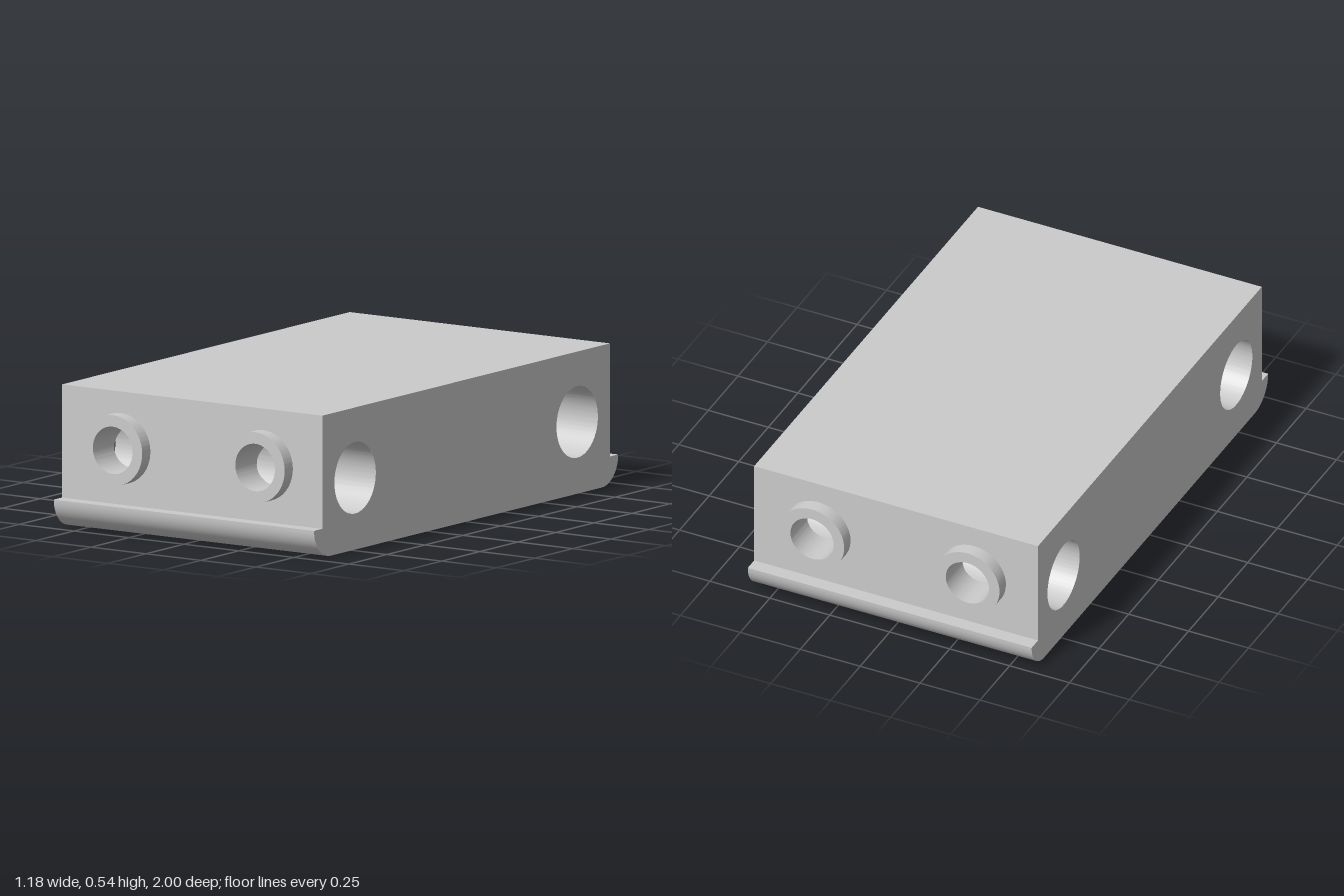
import * as THREE from 'three';
import { toCreasedNormals } from 'three/addons/utils/BufferGeometryUtils.js';

const W = 0.592, H = 0.54;          // half width, height
const END = 0.946, LIP = 0.11;      // end wall position, lip height and radius
const SEG = 128;
const LONG = { pos: 0.324, y: 0.324, r: 0.09, half: 1 };    // bores along z
const CROSS = { pos: 0.73, y: 0.273, r: 0.136, half: W };   // bores along x
const BOSS_R = 0.134;

const material = new THREE.MeshStandardMaterial({ color: 0xcccccc });

// Grid surface from a point rule f(i, j)
function sheet(nu, nv, f) {
  const pos = [], index = [];
  for (let i = 0; i <= nu; i++) for (let j = 0; j <= nv; j++) pos.push(...f(i, j));
  for (let i = 0; i < nu; i++) for (let j = 0; j < nv; j++) {
    const a = i * (nv + 1) + j, b = a + nv + 1;
    index.push(a, b, b + 1, a, b + 1, a + 1);
  }
  const g = new THREE.BufferGeometry();
  g.setAttribute('position', new THREE.Float32BufferAttribute(pos, 3));
  g.setIndex(index);
  return toCreasedNormals(g, 0.5);
}

// Flat wall with two round openings
function wall(points, hole) {
  const shape = new THREE.Shape(points);
  for (const s of [-1, 1]) {
    shape.holes.push(new THREE.Path().absarc(s * hole.pos, hole.y, hole.r, 0, Math.PI * 2, true));
  }
  return new THREE.ShapeGeometry(shape, SEG);
}

export function createModel() {
  const group = new THREE.Group();
  const add = (name, geometry) => {
    const mesh = new THREE.Mesh(geometry, material);
    mesh.name = name;
    group.add(mesh);
    return mesh;
  };

  // Lower profile (z, y): lip shelf, rounded edge, flat underside, mirrored
  const half = [new THREE.Vector2(END, LIP)];
  for (let i = 0; i <= 16; i++) {
    const a = (i / 16) * Math.PI / 2;
    half.push(new THREE.Vector2(1 - LIP + LIP * Math.cos(a), LIP - LIP * Math.sin(a)));
  }
  const profile = [...half.map(p => new THREE.Vector2(-p.x, p.y)), ...half.slice().reverse()];
  add('roundedBase', sheet(profile.length - 1, 1, (i, j) => [j ? -W : W, profile[i].y, profile[i].x]));

  // Top
  add('topFace', new THREE.PlaneGeometry(2 * W, 2 * END).rotateX(-Math.PI / 2).translate(0, H, 0));

  // Side and end walls
  const sideOutline = [...profile, new THREE.Vector2(END, H), new THREE.Vector2(-END, H)];
  const endOutline = [[-W, LIP], [W, LIP], [W, H], [-W, H]].map(p => new THREE.Vector2(...p));
  for (const s of [-1, 1]) {
    add(s > 0 ? 'leftSide' : 'rightSide',
      wall(sideOutline, CROSS).translate(0, 0, W).rotateY(s * Math.PI / 2));
    add(s > 0 ? 'frontWall' : 'backWall',
      wall(endOutline, LONG).translate(0, 0, END).rotateY(s > 0 ? 0 : Math.PI));
  }

  // Raised collars around the lengthwise bores
  const collar = toCreasedNormals(new THREE.LatheGeometry([
    new THREE.Vector2(BOSS_R, END), new THREE.Vector2(BOSS_R, 1), new THREE.Vector2(LONG.r, 1),
  ], SEG), 0.5).rotateX(Math.PI / 2);
  for (const x of [-LONG.pos, LONG.pos]) for (const back of [0, 1]) {
    const mesh = add(back ? 'backCollar' : 'frontCollar', collar);
    mesh.position.set(x, LONG.y, 0);
    mesh.rotation.y = back * Math.PI;
  }

  // Bore linings, interrupted where the crossing bores cut through them
  const lining = (bore, other, side, part) => sheet(SEG, 1, (i, j) => {
    const a = (i / SEG) * Math.PI * 2;
    const y = bore.y + bore.r * Math.sin(a);
    const gap = Math.sqrt(Math.max(0, other.r ** 2 - (y - other.y) ** 2));
    const stops = [bore.half, other.pos + gap, other.pos - gap,
      gap - other.pos, -other.pos - gap, -bore.half];
    return [side * bore.pos + bore.r * Math.cos(a), y, stops[part * 2 + j]];
  });
  for (const side of [-1, 1]) for (let part = 0; part < 3; part++) {
    add('lengthwiseBore', lining(LONG, CROSS, side, part));
    add('crossBore', lining(CROSS, LONG, side, part).rotateY(Math.PI / 2));
  }
  return group;
}
